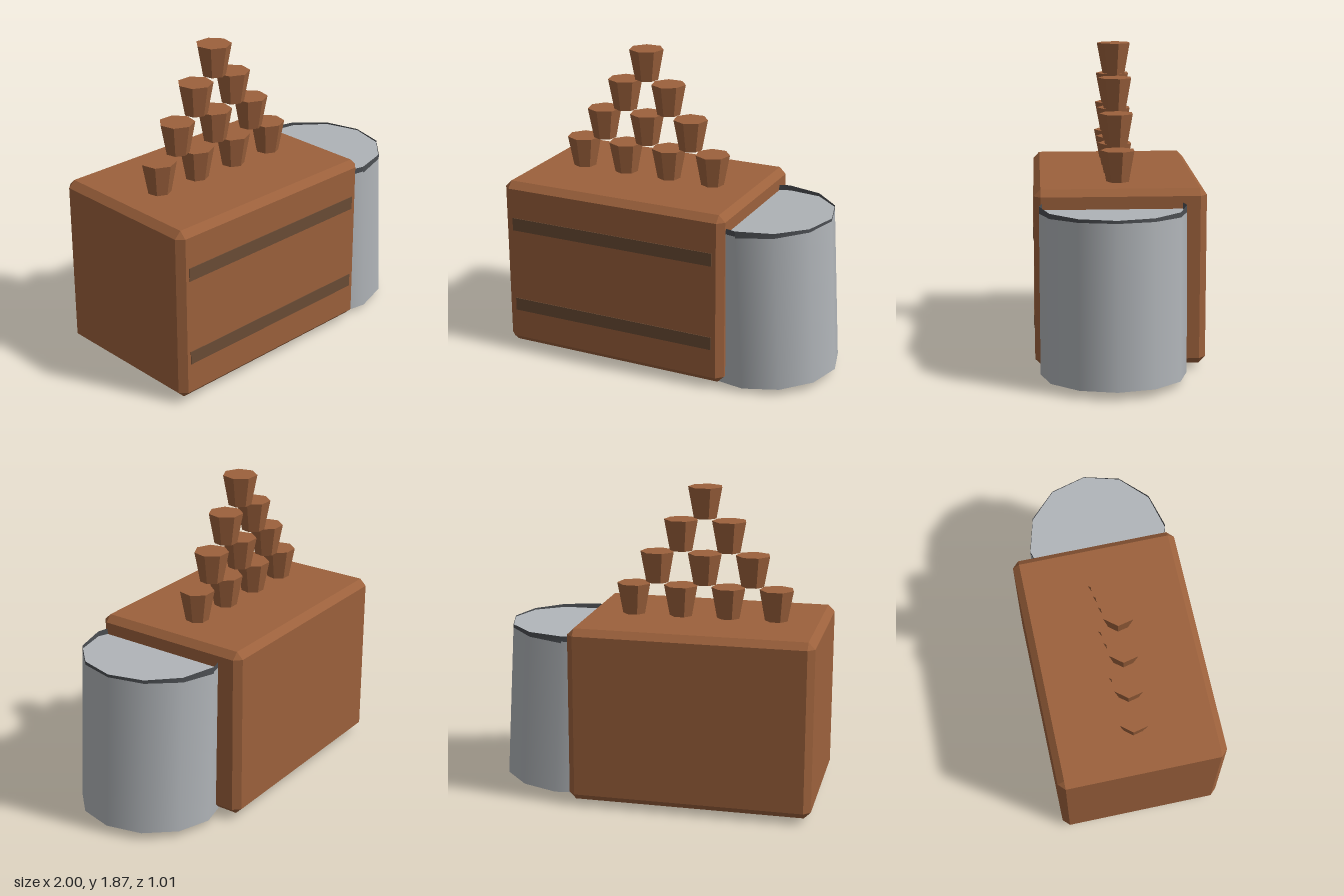
import * as THREE from 'three';
import { ConvexGeometry } from 'three/addons/geometries/ConvexGeometry.js';

export function createModel() {
  const model = new THREE.Group();
  const wood = new THREE.MeshStandardMaterial({ name: 'brown wood', color: 0x9c613c, flatShading: true });
  const strap = new THREE.MeshStandardMaterial({ name: 'dark strap', color: 0x6b4c35 });
  const metal = new THREE.MeshStandardMaterial({ name: 'grey metal', color: 0xb0b4b8 });
  const rimDark = new THREE.MeshStandardMaterial({ name: 'dark rim', color: 0x4c4f53, side: THREE.DoubleSide });

  const add = (name, geometry, material, x = 0, y = 0, z = 0) => {
    const mesh = new THREE.Mesh(geometry, material);
    mesh.name = name;
    mesh.position.set(x, y, z);
    model.add(mesh);
    return mesh;
  };

  // Chamfered crate: each corner becomes three points, one on each face
  const half = [0.727, 0.528, 0.503];
  const bevel = 0.04;
  const corners = [];
  for (const sx of [-1, 1]) for (const sy of [-1, 1]) for (const sz of [-1, 1])
    for (let face = 0; face < 3; face++) {
      const [x, y, z] = half.map((h, axis) => (axis === face ? h : h - bevel));
      corners.push(new THREE.Vector3(sx * x, sy * y, sz * z));
    }
  add('crate', new ConvexGeometry(corners), wood, -0.273, 0.557, 0);

  // Two flat straps across the front
  for (const y of [0.29, 0.82])
    add('frontStrap', new THREE.BoxGeometry(1.325, 0.08, 0.008), strap, -0.275, y, 0.503);

  // Leaning barrel at the side
  const radius = 0.425, height = 0.952, tilt = 0.058;
  const barrel = add('barrel', new THREE.CylinderGeometry(radius, radius, height, 12), metal, 0.547, 0.5, 0.048);
  barrel.rotation.z = tilt;

  // Level rim rising from the leaning barrel top
  const rim = new THREE.CylinderGeometry(radius, radius, 0.01, 12, 1, true);
  rim.translate(0, height / 2 - 0.005, 0).rotateZ(tilt).translate(0.547, 0.5, 0.048);
  const pos = rim.attributes.position, uv = rim.attributes.uv;
  for (let i = 0; i < pos.count; i++) if (uv.getY(i) > 0.5) pos.setY(i, 1.007);
  rim.computeVertexNormals();
  add('barrelRim', rim, rimDark);

  // Pyramid of seven-sided cups, four at the base
  const cup = new THREE.CylinderGeometry(0.105, 0.07, 0.187, 7);
  for (let row = 0; row < 4; row++)
    for (let i = 0; i < 4 - row; i++)
      add('cup', cup, wood, -0.707 + 0.2905 * (i + row / 2), 1.178 + row * 0.2, 0);

  return model;
}
